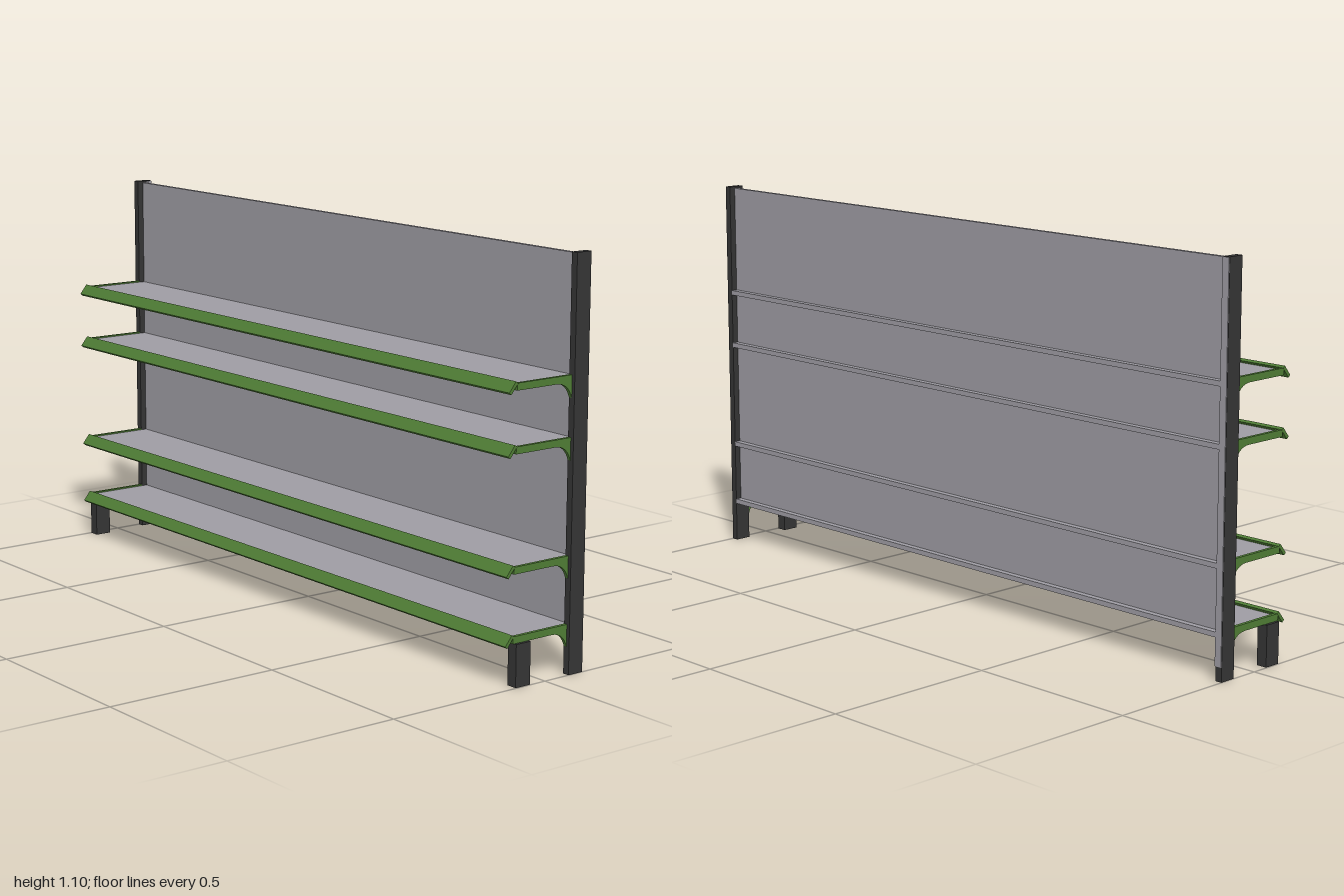
import * as THREE from 'three';

const steel = new THREE.MeshStandardMaterial({ color: 0x9e9ca3, name: 'grey steel' });
const green = new THREE.MeshStandardMaterial({ color: 0x4f7d35, name: 'green paint' });
const dark = new THREE.MeshStandardMaterial({ color: 0x353535, name: 'dark frame' });

// Box given by its minimum and maximum corners
function box(name, material, [x0, y0, z0], [x1, y1, z1]) {
  const mesh = new THREE.Mesh(new THREE.BoxGeometry(x1 - x0, y1 - y0, z1 - z0), material);
  mesh.position.set((x0 + x1) / 2, (y0 + y1) / 2, (z0 + z1) / 2);
  mesh.name = name;
  return mesh;
}

// Side profile drawn in (z, y), extruded along x from x0 to x1
function sideExtrude(name, material, shape, x0, x1) {
  const geometry = new THREE.ExtrudeGeometry(shape, { depth: x1 - x0, bevelEnabled: false, curveSegments: 8 });
  geometry.rotateY(-Math.PI / 2); // profile x -> z, depth -> -x
  geometry.translate(x1, 0, 0);
  const mesh = new THREE.Mesh(geometry, material);
  mesh.name = name;
  return mesh;
}

// Bracket arm with a curved gusset at the back; y = 0 is the shelf top
const bracketShape = new THREE.Shape();
bracketShape.moveTo(0.1, 0);
bracketShape.lineTo(-0.082, 0);
bracketShape.lineTo(-0.082, -0.06);
bracketShape.quadraticCurveTo(-0.07, -0.02, -0.03, -0.019);
bracketShape.lineTo(0.1, -0.019);
bracketShape.closePath();

// Tilted front lip with a short tab joining it to the shelf
const lipShape = new THREE.Shape([
  [0.129, -0.022], [0.107, 0.005], [0.1, 0], [0.109, -0.012], [0.122, -0.028],
].map(([z, y]) => new THREE.Vector2(z, y)));

function createShelf(top) {
  const shelf = new THREE.Group();
  shelf.name = 'shelf';
  shelf.add(box('shelfBoard', steel, [-0.98, -0.018, -0.1], [0.98, -0.004, 0.099]));
  shelf.add(box('backRail', steel, [-0.98, -0.018, -0.13], [0.98, -0.004, -0.1]));
  shelf.add(box('frontEdge', green, [-0.99, -0.019, 0.095], [0.99, -0.002, 0.103]));
  shelf.add(sideExtrude('frontLip', green, lipShape, -0.99, 0.99));
  for (const x of [-0.99, 0.98]) {
    shelf.add(sideExtrude('bracket', green, bracketShape, x, x + 0.01));
  }
  shelf.position.y = top;
  return shelf;
}

export function createModel() {
  const model = new THREE.Group();
  model.name = 'shelvingUnit';

  // Back panel, set forward of the rear of the uprights
  model.add(box('backPanel', steel, [-0.98, 0.114, -0.112], [0.98, 1.095, -0.1]));

  // Uprights and front feet at both ends
  for (const s of [-1, 1]) {
    const [a, b] = s > 0 ? [0.98, 1] : [-1, -0.98];
    const [c, d] = s > 0 ? [0.967, 0.998] : [-0.998, -0.967];
    model.add(box('upright', dark, [a, 0, -0.13], [b, 1.1, -0.082]));
    model.add(box('frontFoot', dark, [c, 0, 0.05], [d, 0.115, 0.099]));
  }

  // Thin grey cover strips behind the right upright
  model.add(box('uprightCover', steel, [-0.999, 0.04, -0.132], [-0.978, 1.098, -0.13]));
  model.add(box('uprightCoverSide', steel, [-0.98, 0.04, -0.13], [-0.978, 1.098, -0.112]));

  for (const top of [0.134, 0.316, 0.626, 0.788]) model.add(createShelf(top));
  return model;
}
